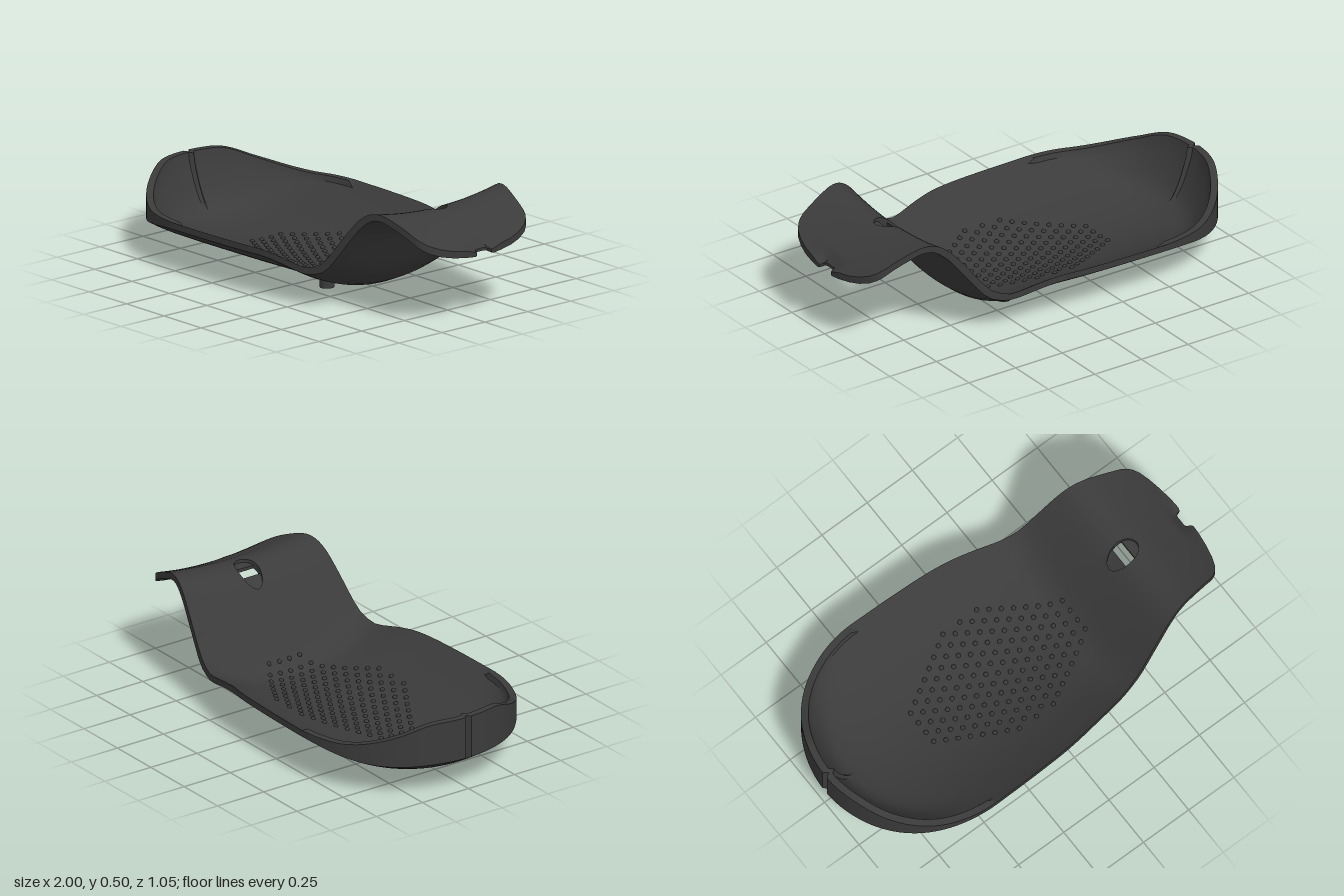
import * as THREE from 'three';
import { mergeGeometries, toCreasedNormals } from 'three/addons/utils/BufferGeometryUtils.js';

const { clamp, lerp } = THREE.MathUtils;

// Smooth lookup through [x, value] pairs
function curve(pts) {
  const slope = i => {
    const a = pts[Math.max(i - 1, 0)], b = pts[Math.min(i + 1, pts.length - 1)];
    return (b[1] - a[1]) / (b[0] - a[0]);
  };
  return x => {
    x = clamp(x, pts[0][0], pts[pts.length - 1][0]);
    let i = 0;
    while (i < pts.length - 2 && x > pts[i + 1][0]) i++;
    const [x0, y0] = pts[i], [x1, y1] = pts[i + 1], h = x1 - x0, t = (x - x0) / h;
    const t2 = t * t, t3 = t2 * t;
    return y0 * (2 * t3 - 3 * t2 + 1) + y1 * (3 * t2 - 2 * t3)
      + h * (slope(i) * (t3 - 2 * t2 + t) + slope(i + 1) * (t3 - t2));
  };
}

// Underside along the middle, height of the rim, and half width
const under = curve([[-1, .15], [-.9, .09], [-.8, .052], [-.7, .035], [-.6, .03], [0, .03], [.28, .03],
  [.34, .042], [.4, .085], [.45, .15], [.5, .222], [.55, .295], [.6, .362], [.65, .41], [.7, .43],
  [.75, .427], [.8, .408], [.9, .36], [.97, .318], [1, .308]]);
const rim = curve([[-1, .347], [-.97, .342], [-.9, .292], [-.8, .25], [-.7, .23], [-.6, .228], [0, .228],
  [.1, .224], [.2, .207], [.28, .189], [.33, .187], [.4, .217], [.45, .268], [.5, .333], [.55, .395],
  [.6, .45], [.65, .485], [.7, .496], [.75, .488], [.85, .448], [.92, .41], [1, .36]]);
const halfWidth = curve([[-.45, .525], [-.2, .52], [0, .508], [.2, .475], [.4, .43], [.6, .388],
  [.8, .342], [.9, .32], [1, .3]]);

const thickness = x => .03 * Math.hypot(1, (under(x + .01) - under(x - .01)) / .02);
function bottomY(x, z) {
  const xc = Math.max(x, -.45);
  const k = (rim(xc) - thickness(xc) - under(xc)) / halfWidth(xc) ** 2;
  return under(x) + k * z * z;
}
function topY(x, z) {
  const groove = .02 * clamp((.075 - Math.abs(z)) / .04, 0, 1) * clamp((x - .93) / .04, 0, 1);
  return bottomY(x, z) + thickness(x) - groove;
}

// Outline seen from above, as [x, z], running round the whole rest
function makeOutline() {
  const half = [[-.978, 0], [-.9995, .016]];
  for (let i = 2; i < 32; i++) {
    const a = i / 32 * Math.PI / 2;
    half.push([-.45 - .55 * Math.cos(a), .525 * Math.sin(a)]);
  }
  for (let i = 0; i < 25; i++) half.push([-.44 + .04 * i, halfWidth(-.44 + .04 * i)]);
  for (let i = 0; i <= 9; i++) half.push([.56 + .02 * i, halfWidth(.56 + .02 * i)]);
  for (const x of [.78, .82, .86, .89]) half.push([x, halfWidth(x)]);
  half.push([.91, .314], [.93, .3], [.95, .275], [.97, .225], [.985, .165], [.995, .1], [1, .055],
    [.996, .043], [.973, .036], [.97, .018], [.97, 0]);
  const back = half.slice(1, -1).reverse().map(([x, z]) => [x, -z]);
  return [...half, ...back];
}

// Adds quads between neighbouring columns of points in a closed ring
function addStrips(out, columns, skip = () => false) {
  columns.forEach((c, i) => {
    const i2 = (i + 1) % columns.length, d = columns[i2];
    for (let j = 0; j < c.length - 1; j++) {
      if (skip(i, i2, j)) continue;
      for (const tri of [[c[j], c[j + 1], d[j + 1]], [c[j], d[j + 1], d[j]]]) {
        const [p, q, r] = tri.map(v => new THREE.Vector3(...v));
        if (q.sub(p).cross(r.sub(p)).length() > 1e-9) for (const v of tri) out.push(...v);
      }
    }
  });
}

function bodyGeometry() {
  const out = [];
  const outline = makeOutline();
  const rings = [0, .06, .12, .18, .26, .35, .45, .55, .64, .71, .76, .8, .84, .875, .905, .925, .94, 1];
  const at = ([x, z], r) => [lerp(clamp(x, -.45, .9), x, r), z * r];

  // Upper and lower surfaces with the raised wall of the bowl
  const columns = outline.map(p => {
    const lift = p[0] < -.45 ? Math.max(0, rim(p[0]) - topY(...p)) : 0;
    const upper = rings.map(r => {
      const [x, z] = at(p, r);
      const rise = r >= .94 ? 1 : Math.max(0, (r - .72) / .22) ** 2;
      const y = r >= .94 && lift > 0 ? topY(...p) + lift : topY(x, z) + lift * rise;
      return [x, y, z];
    });
    const lower = rings.map(r => {
      const [x, z] = at(p, r);
      return [x, bottomY(x, z), z];
    }).reverse();
    return [...upper, ...lower];
  });
  const inPatch = i => outline[i][0] > .555 && outline[i][0] < .745;
  const n = rings.length;
  addStrips(out, columns, (i, i2, j) => inPatch(i) && inPatch(i2) && (j < 3 || j > 2 * n - 5));

  // Oval recess and hanging hole through the handle
  const edge = [], steps = [-.18, -.12, -.06, 0, .06, .12, .18];
  const put = (x, r) => edge.push([x, r * halfWidth(x)]);
  for (const r of steps.slice(0, -1)) put(.56, r);
  for (let i = 0; i < 9; i++) put(.56 + .02 * i, .18);
  for (const r of steps.slice(1).reverse()) put(.74, r);
  for (let i = 9; i > 0; i--) put(.56 + .02 * i, -.18);
  addStrips(out, edge.map(([x, z]) => {
    const a = Math.atan2(z / .055, (x - .65) / .077);
    const ex = .65 + .077 * Math.cos(a), ez = .054 * Math.sin(a);
    const hx = clamp(ex, .63, .68);
    return [
      [x, bottomY(x, z), z],
      [hx, bottomY(hx, ez), ez],
      [hx, topY(hx, ez) - .016, ez],
      [ex, topY(ex, ez) - .016, ez],
      [ex, topY(ex, ez), ez],
      [x, topY(x, z), z],
    ];
  }));

  // Creasing is done at a larger scale so that close points stay distinct
  const g = new THREE.BufferGeometry();
  g.setAttribute('position', new THREE.Float32BufferAttribute(out, 3));
  g.scale(100, 100, 100);
  const creased = toCreasedNormals(g, .6);
  creased.scale(.01, .01, .01);
  return creased;
}

export function createModel() {
  const group = new THREE.Group();
  const charcoal = new THREE.MeshStandardMaterial({ color: 0x3b3b3b });
  charcoal.name = 'charcoal';
  const add = (name, geometry) => {
    const mesh = new THREE.Mesh(geometry, charcoal);
    mesh.name = name;
    group.add(mesh);
    return mesh;
  };

  add('restBody', bodyGeometry());

  // Raised dots in a staggered six-sided field
  const dots = [];
  for (let i = -9; i <= 9; i++) {
    const x = -.04 + i * .0467;
    const limit = Math.min(.285, .285 - .028 * (Math.abs(i) - 2));
    for (let j = -6; j <= 6; j++) {
      const z = (j + (i % 2 ? .5 : 0)) * .0555;
      if (Math.abs(z) > limit) continue;
      dots.push(new THREE.SphereGeometry(.011, 10, 6).translate(x, topY(x, z), z));
    }
  }
  add('gripDots', mergeGeometries(dots));

  // Three round feet
  for (const [x, z, low, high] of [[-.59, 0, 0, .045], [.19, .215, .025, .075], [.19, -.215, .025, .075]]) {
    add('foot', new THREE.CylinderGeometry(.033, .033, high - low, 24)).position.set(x, (low + high) / 2, z);
  }
  return group;
}
